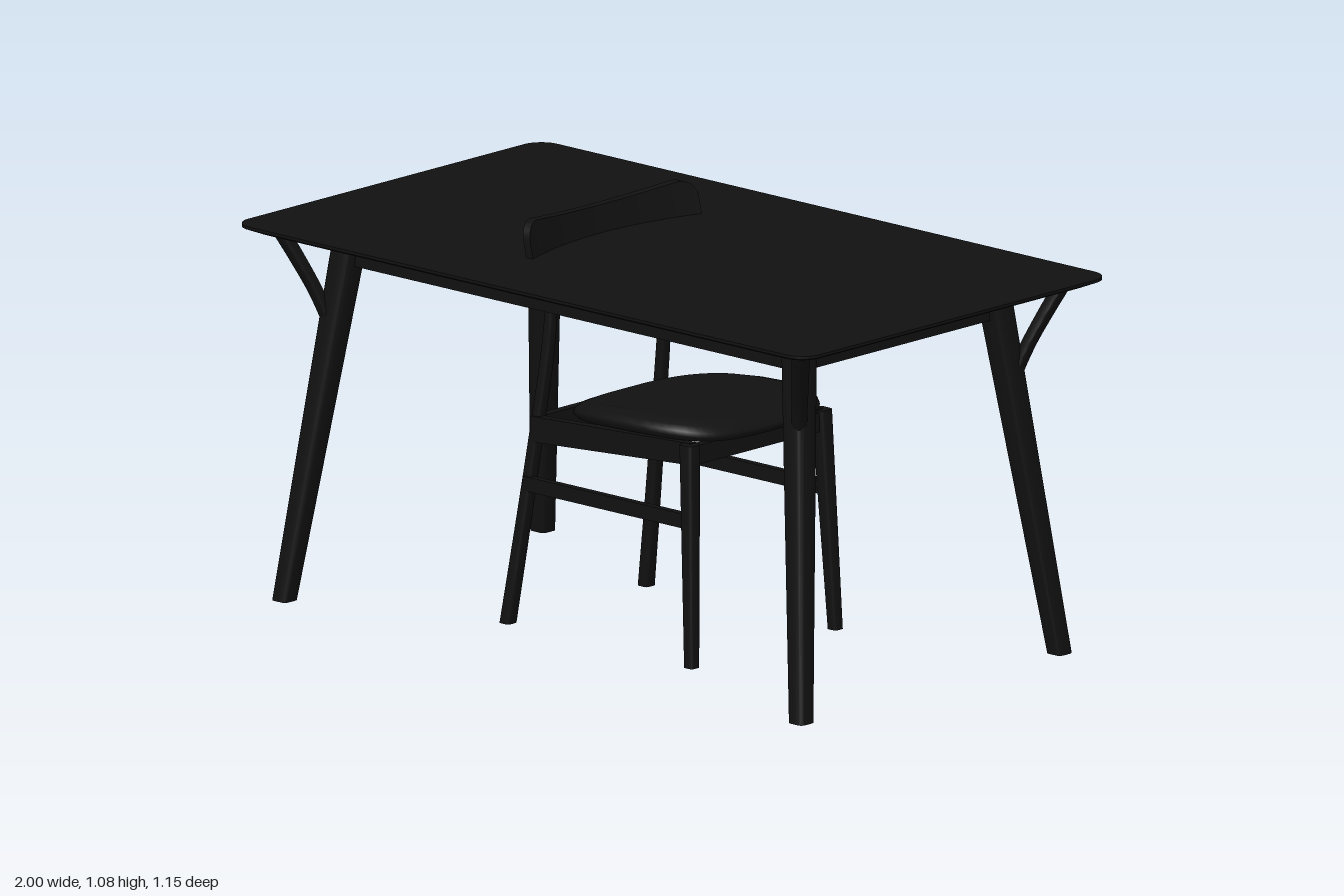
import * as THREE from 'three';
import { toCreasedNormals, mergeVertices } from 'three/addons/utils/BufferGeometryUtils.js';

const material = new THREE.MeshStandardMaterial({ color: 0x111111 });

function add(parent, name, geometry) {
  const mesh = new THREE.Mesh(geometry, material);
  mesh.name = name;
  parent.add(mesh);
  return mesh;
}

function box(parent, name, size, pos) {
  add(parent, name, new THREE.BoxGeometry(...size)).position.set(...pos);
}

// Moves every vertex of a geometry by a rule that edits the vector in place
function reshape(geometry, rule) {
  const p = geometry.attributes.position;
  const v = new THREE.Vector3();
  for (let i = 0; i < p.count; i++) {
    rule(v.fromBufferAttribute(p, i));
    p.setXYZ(i, v.x, v.y, v.z);
  }
  return geometry;
}

const soften = (c, e) => Math.sign(c) * Math.pow(Math.abs(c), e);

// Rounded-square bar with level sections; spine = [[x, y, z], ...] from bottom to top,
// half widths run from w0 to w1
function bar(spine, w0, w1) {
  const curve = new THREE.CatmullRomCurve3(spine.map((p) => new THREE.Vector3(...p)));
  const g = new THREE.CylinderGeometry(1, 1, 1, 20, spine.length > 2 ? 16 : 1);
  reshape(g, (v) => {
    const t = v.y + 0.5;
    const c = curve.getPoint(t);
    const w = w0 + (w1 - w0) * t;
    v.set(c.x + soften(v.x, 0.45) * w, c.y, c.z + soften(v.z, 0.45) * w);
  });
  return toCreasedNormals(g, 0.7);
}

// Rounded rectangle slab with a chamfered underside
function tableTop() {
  const X = 1, Z = 0.575, r = 0.06, h = 0.022, inset = 0.032;
  const s = new THREE.Shape();
  s.absarc(X - r, Z - r, r, 0, Math.PI / 2);
  s.absarc(-X + r, Z - r, r, Math.PI / 2, Math.PI);
  s.absarc(-X + r, -Z + r, r, Math.PI, Math.PI * 1.5);
  s.absarc(X - r, -Z + r, r, Math.PI * 1.5, Math.PI * 2);
  const g = new THREE.ExtrudeGeometry(s, { depth: h, steps: 2, bevelEnabled: false, curveSegments: 10 });
  g.rotateX(Math.PI / 2);
  reshape(g, (v) => {
    if (v.y < -h * 0.9) {
      v.x -= Math.sign(v.x) * inset;
      v.z -= Math.sign(v.z) * inset;
    } else if (v.y < -h * 0.1) v.y = -0.008;
    v.y += 0.995;
  });
  return toCreasedNormals(g, 0.5);
}

// Dished cushion-shaped seat, narrower at the back
function seatShape() {
  const profile = [[0, 0], [0.5, 0], [0.85, 0], [0.96, 0.15], [1, 0.4], [0.985, 0.62],
    [0.93, 0.85], [0.82, 1], [0.6, 0.94], [0.3, 0.8], [0, 0.76]];
  const g = new THREE.LatheGeometry(profile.map((p) => new THREE.Vector2(...p)), 56);
  reshape(g, (v) => {
    const r = Math.hypot(v.x, v.z) || 1;
    const x = 0.067 + 0.278 * r * soften(v.x / r, 0.55);
    const back = Math.max(0, (0.15 - x) / 0.36);
    const front = Math.max(0, (x - 0.24) / 0.1);
    const z = 0.285 * r * soften(v.z / r, 0.55) * (1 - 0.22 * back * back);
    const top = 0.632 - 0.042 * back * back - 0.02 * front * front;
    const bottom = 0.566 - 0.018 * back + 0.016 * (z / 0.285) ** 2;
    v.set(x, bottom + (top - bottom) * v.y, z);
  });
  g.deleteAttribute('uv');
  g.deleteAttribute('normal');
  const merged = mergeVertices(g, 1e-5);
  merged.computeVertexNormals();
  return merged;
}

// Curved, leaning backrest board with rounded upper corners
function backrestShape() {
  const W = 0.315, r = 0.055;
  const g = new THREE.BoxGeometry(1, 1, 2, 1, 10, 48);
  reshape(g, (v) => {
    const z = W * Math.sin(v.z * Math.PI / 2);
    const k = (z / W) ** 2;
    const c = Math.max(0, Math.abs(z) - (W - r));
    const corner = r - Math.sqrt(Math.max(0, r * r - c * c));
    const top = 1.064 + 0.027 * k - corner;
    const bottom = 0.85 + 0.08 * k + corner * 0.5;
    const y = bottom + (top - bottom) * (v.y + 0.5);
    const x = -0.228 - 0.045 * (y - 0.85) / 0.215 + 0.055 * k;
    v.set(x + v.x * 0.024, y, z);
  });
  return toCreasedNormals(g, 0.6);
}

function createTable() {
  const table = new THREE.Group();
  table.name = 'table';
  add(table, 'tableTop', tableTop());
  for (const s of [-1, 1]) {
    box(table, 'longApron', [1.54, 0.09, 0.035], [0, 0.931, s * 0.36]);
    box(table, 'shortApron', [0.035, 0.09, 0.7], [s * 0.782, 0.931, 0]);
    for (const t of [-1, 1]) {
      add(table, 'tableLeg', bar([[s * 0.904, 0, t * 0.482], [s * 0.782, 0.978, t * 0.36]], 0.026, 0.038));
      add(table, 'legBrace', bar([[s * 0.815, 0.71, t * 0.395], [s * 0.845, 0.81, t * 0.425],
        [s * 0.875, 0.89, t * 0.455], [s * 0.911, 0.978, t * 0.491]], 0.016, 0.02));
    }
  }
  return table;
}

function createChair() {
  const chair = new THREE.Group();
  chair.name = 'chair';
  add(chair, 'seat', seatShape());
  add(chair, 'backrest', backrestShape());

  // Side rail under the seat, deeper at the back
  const rail = new THREE.Shape([[-0.265, 0.487], [0.295, 0.525], [0.295, 0.582], [-0.265, 0.555]]
    .map((p) => new THREE.Vector2(...p)));
  for (const s of [-1, 1]) {
    add(chair, 'frontLeg', bar([[0.32, 0, s * 0.268], [0.293, 0.58, s * 0.246]], 0.016, 0.022));
    add(chair, 'backLeg', bar([[-0.332, 0, s * 0.258], [-0.295, 0.25, s * 0.244], [-0.26, 0.5, s * 0.23],
      [-0.228, 0.75, s * 0.217], [-0.222, 0.87, s * 0.214], [-0.236, 0.99, s * 0.212]], 0.018, 0.012));
    const g = new THREE.ExtrudeGeometry(rail, { depth: 0.024, bevelEnabled: false });
    add(chair, 'sideRail', g).position.z = s * 0.235 - 0.012;
    box(chair, 'stretcher', [0.59, 0.038, 0.02], [0.012, 0.376, s * 0.246]);
  }
  box(chair, 'frontRail', [0.024, 0.05, 0.47], [0.292, 0.55, 0]);
  box(chair, 'backRail', [0.024, 0.065, 0.45], [-0.255, 0.523, 0]);
  return chair;
}

export function createModel() {
  const model = new THREE.Group();
  model.name = 'tableAndChair';
  model.add(createTable(), createChair());
  return model;
}
